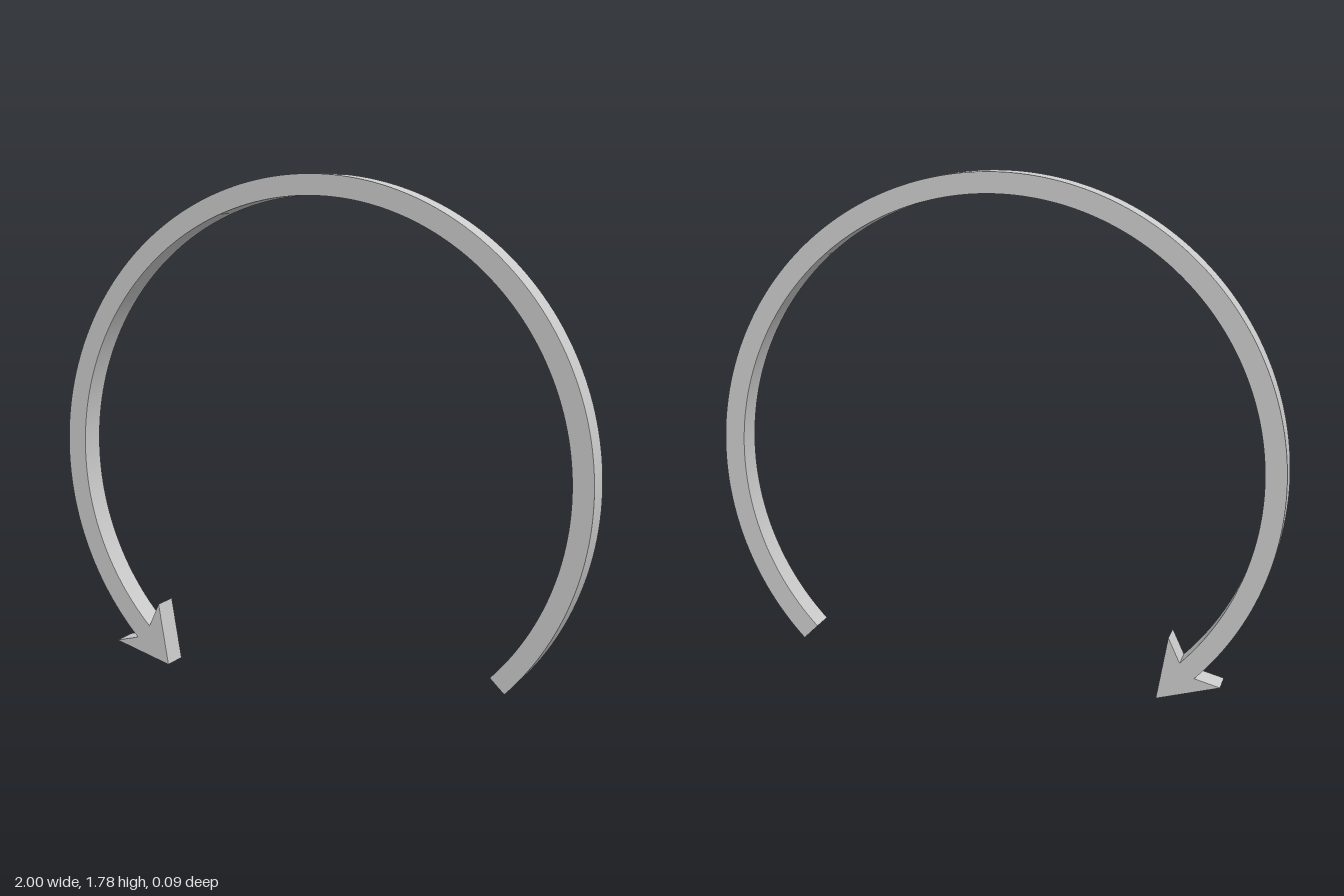
import * as THREE from 'three';
import { toCreasedNormals } from 'three/addons/utils/BufferGeometryUtils.js';

export function createModel() {
  const group = new THREE.Group();
  group.name = 'circularArrow';

  const centreY = 0.785, outer = 1, inner = 0.928, depth = 0.092;
  const start = THREE.MathUtils.degToRad(-44.3);
  const end = THREE.MathUtils.degToRad(224.3);

  // Outline: outer arc, arrowhead (barb, tip, barb), inner arc back
  const outline = new THREE.Shape();
  outline.absarc(0, centreY, outer, start, end, false);
  outline.lineTo(-0.805, 0.063);
  outline.lineTo(-0.585, 0);
  outline.lineTo(-0.623, 0.225);
  outline.absarc(0, centreY, inner, end, start, true);
  outline.closePath();

  // Flat band with square edges and smoothly shaded curved walls
  const extruded = new THREE.ExtrudeGeometry(outline, { depth, bevelEnabled: false, curveSegments: 80 });
  extruded.translate(0, 0, -depth / 2);

  const arrow = new THREE.Mesh(
    toCreasedNormals(extruded, Math.PI / 6),
    new THREE.MeshStandardMaterial({ color: 0xcccccc })
  );
  arrow.name = 'curvedArrow';
  group.add(arrow);
  return group;
}
